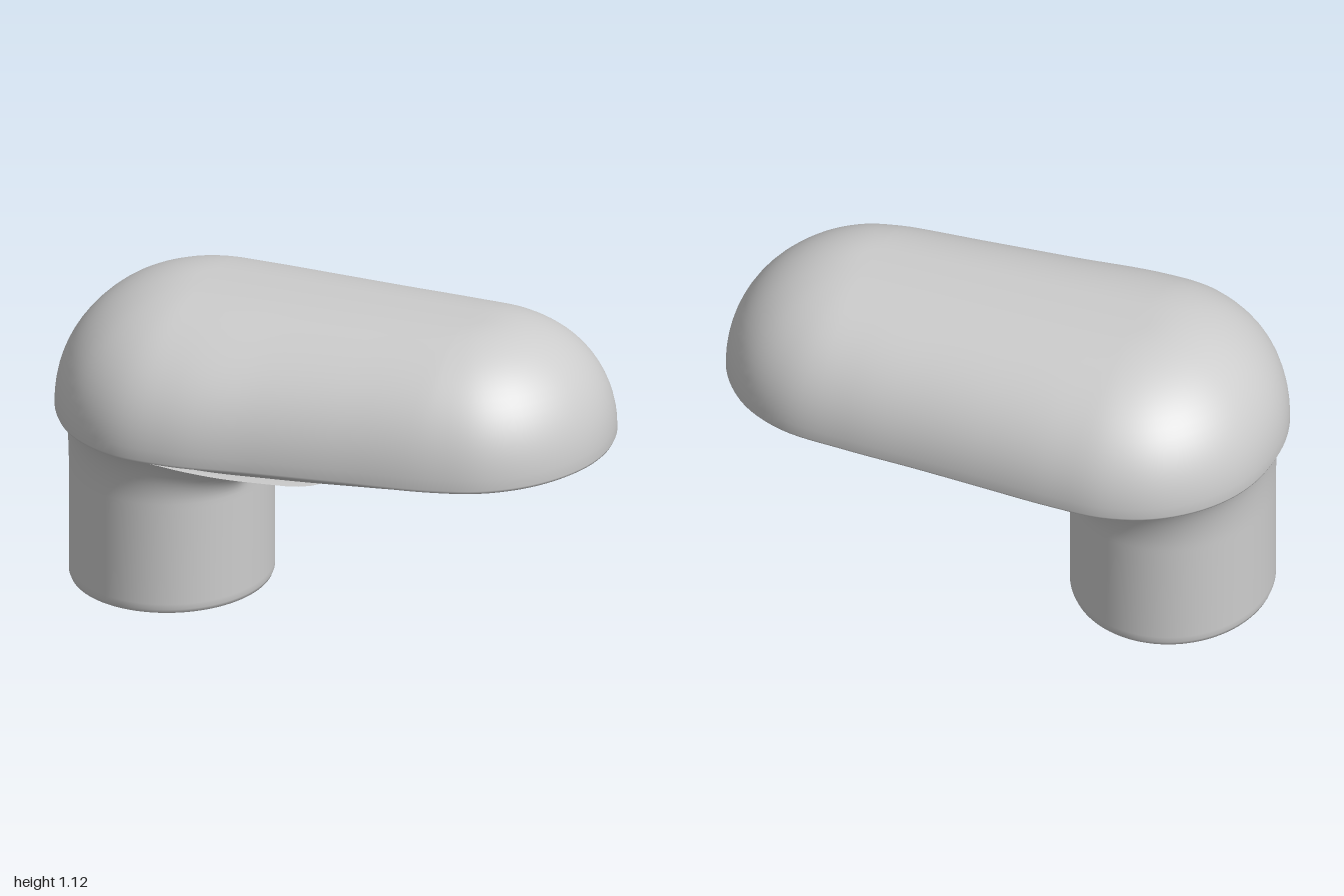
import * as THREE from 'three';

const smooth = THREE.MathUtils.smoothstep;
const lerp = THREE.MathUtils.lerp;
const SEG = 144;

// Plan outline of the hood as [x, z], from the back round by +x
const OUTLINE = [
  [-0.05, -1], [0.15, -0.965], [0.32, -0.86], [0.43, -0.71], [0.49, -0.52], [0.55, -0.25],
  [0.605, 0], [0.665, 0.25], [0.708, 0.5], [0.665, 0.7], [0.54, 0.865], [0.36, 0.97],
  [0.17, 1], [-0.03, 0.955], [-0.19, 0.845], [-0.3, 0.68], [-0.43, 0.37], [-0.55, 0.08],
  [-0.67, -0.2], [-0.712, -0.42], [-0.66, -0.63], [-0.52, -0.81], [-0.32, -0.94],
];

// Skin over closed rings of [x, y, z] points
function loft(rings) {
  const geometry = new THREE.BufferGeometry();
  const index = [];
  const n = rings[0].length;
  for (let i = 0; i < rings.length - 1; i++) {
    for (let j = 0; j < n; j++) {
      const k = (j + 1) % n;
      const a = i * n + j, b = a + n, c = i * n + k, d = c + n;
      index.push(a, b, c, c, b, d);
    }
  }
  geometry.setAttribute('position', new THREE.Float32BufferAttribute(rings.flat(2), 3));
  geometry.setIndex(index);
  geometry.computeVertexNormals();
  return geometry;
}

// Rim heights: the rim tilts slightly and its -x lip dips toward the stem
const rimY = (x) => 0.678 + 0.026 * x;
function lipY(x, z) {
  const left = 1 - smooth(x, -0.35, -0.1);
  const dip = smooth(z, -0.35, 0.05) * (1 - smooth(z, 0.15, 1));
  return rimY(x) - 0.014 - 0.032 * left * dip;
}

// Hollow hood: cavity ceiling, cavity wall, lip, rim and domed top
function hoodGeometry(outline) {
  const A = [-0.1, -0.45], B = [0.17, 0.5];
  const dx = B[0] - A[0], dz = B[1] - A[1];
  const ring = (scale, height) => outline.map(([x, z]) => {
    const t = ((x - A[0]) * dx + (z - A[1]) * dz) / (dx * dx + dz * dz);
    const s = THREE.MathUtils.clamp(t, 0, 1);
    const ax = A[0] + dx * s, az = A[1] + dz * s;
    return [lerp(ax, x, scale), height(x, z), lerp(az, z, scale)];
  });

  const rings = [ring(0, () => 1.04)];
  for (let i = 0; i <= 10; i++) {
    const a = (1 - i / 10) * Math.PI / 2;
    rings.push(ring(0.2 + 0.64 * Math.cos(a), (x) => lerp(rimY(x) + 0.03, 1.04, Math.sin(a))));
  }
  rings.push(ring(0.85, (x, z) => lipY(x, z) + 0.012));
  rings.push(ring(0.87, lipY));
  rings.push(ring(0.93, (x, z) => lerp(lipY(x, z), rimY(x) - 0.014, 0.4)));
  rings.push(ring(0.975, (x) => rimY(x) - 0.014));
  rings.push(ring(0.992, (x) => rimY(x) - 0.009));
  for (let i = 0; i <= 20; i++) {
    const a = (i / 20) * Math.PI / 2;
    rings.push(ring(1 - 0.9 * (1 - Math.cos(a)), (x) => lerp(rimY(x), 1.12, Math.sin(a) ** 0.95)));
  }
  rings.push(ring(0, () => 1.12));
  return loft(rings);
}

// Distance from (cx, cz) along a direction to the outline
function reach(outline, cx, cz, ux, uz) {
  let best = 0;
  outline.forEach(([x1, z1], i) => {
    const [x2, z2] = outline[(i + 1) % outline.length];
    const ex = x2 - x1, ez = z2 - z1;
    const det = ux * ez - uz * ex;
    if (Math.abs(det) < 1e-9) return;
    const t = ((x1 - cx) * ez - (z1 - cz) * ex) / det;
    const s = ((x1 - cx) * uz - (z1 - cz) * ux) / det;
    if (t > 0 && s >= -1e-6 && s <= 1 + 1e-6) best = Math.max(best, t);
  });
  return best;
}

// Skewed oval stem, flared to the rim at the back and sides, rising into the cavity at the front
function stemGeometry(outline) {
  const cx = -0.175, cz = -0.56;
  const rays = [];
  for (let j = 0; j < SEG; j++) {
    const a = (j / SEG) * Math.PI * 2;
    const ux = Math.sin(a), uz = -Math.cos(a);
    const r = 1 / Math.sqrt(6.32 * ux * ux + 1.43 * ux * uz + 7.38 * uz * uz);
    const off = Math.abs(THREE.MathUtils.radToDeg(a) - 157);
    const d = reach(outline, cx, cz, ux, uz) - 0.022;
    const spread = smooth(off, 12, 46);
    const top = lerp(1.04, lipY(cx + ux * d, cz + uz * d), smooth(off, 8, 38));
    rays.push({ ux, uz, r, end: lerp(r + 0.04, d, spread), top });
  }
  const ring = (radius, height) => rays.map((q) => {
    const d = radius(q);
    return [cx + q.ux * d, height(q), cz + q.uz * d];
  });

  const rings = [];
  for (const [s, y] of [[0, 0], [0.9, 0], [0.96, 0.002], [0.985, 0.006], [1, 0.02], [1, 0.04], [1, 0.2], [1, 0.4]]) {
    rings.push(ring((q) => q.r * s, () => y));
  }
  for (let i = 0; i <= 20; i++) {
    const a = (i / 20) * Math.PI / 2;
    rings.push(ring((q) => lerp(q.r, q.end, 1 - Math.cos(a)), (q) => lerp(0.42, q.top, Math.sin(a))));
  }
  return loft(rings);
}

export function createModel() {
  const group = new THREE.Group();
  group.name = 'ventilationCowl';
  const grey = new THREE.MeshStandardMaterial({ color: 0xcccccc, side: THREE.DoubleSide });
  grey.name = 'plain grey';

  const curve = new THREE.CatmullRomCurve3(OUTLINE.map(([x, z]) => new THREE.Vector3(x, 0, z)), true);
  const outline = curve.getSpacedPoints(SEG).slice(0, SEG).map((p) => [p.x, p.z]);

  const hood = new THREE.Mesh(hoodGeometry(outline), grey);
  hood.name = 'hood';
  const stem = new THREE.Mesh(stemGeometry(outline), grey);
  stem.name = 'stem';
  group.add(hood, stem);
  return group;
}
